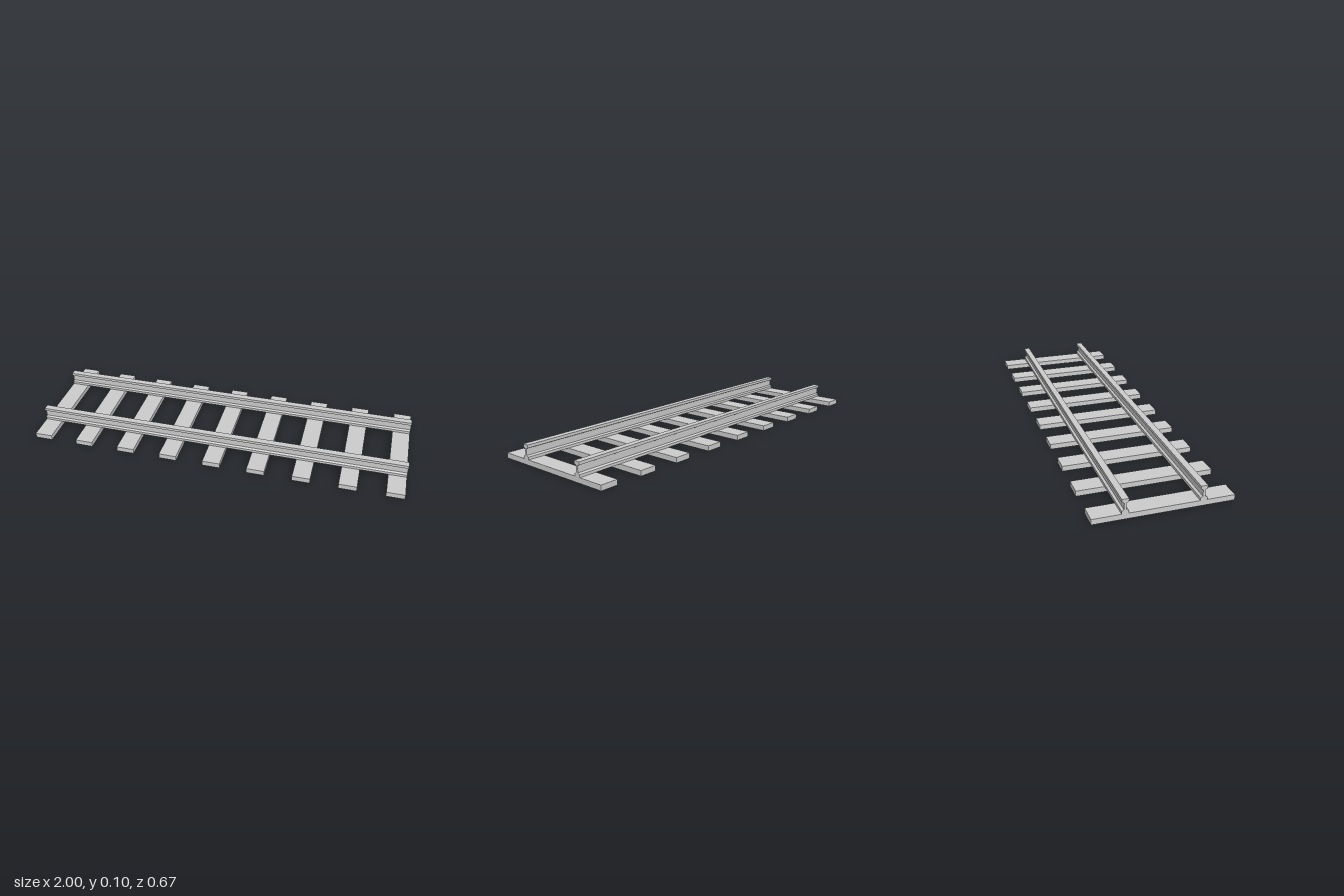
import * as THREE from 'three';

const LENGTH = 2;
const SLEEPER = { count: 9, width: 0.094, height: 0.027, depth: 0.672 };
const RAIL_Z = 0.183;

// Half of the symmetric I-shaped rail section: [half width, height], bottom to top
const RAIL_HALF = [
  [0.0165, 0.027], [0.0165, 0.041], [0.0055, 0.047],
  [0.0055, 0.08], [0.0165, 0.085], [0.0165, 0.1],
];

function railGeometry() {
  const right = RAIL_HALF.map(([x, y]) => new THREE.Vector2(x, y));
  const left = RAIL_HALF.map(([x, y]) => new THREE.Vector2(-x, y)).reverse();
  const geometry = new THREE.ExtrudeGeometry(new THREE.Shape([...right, ...left]), {
    depth: LENGTH, bevelEnabled: false,
  });
  return geometry.translate(0, 0, -LENGTH / 2).rotateY(Math.PI / 2);
}

export function createModel() {
  const track = new THREE.Group();
  track.name = 'railwayTrack';
  const material = new THREE.MeshStandardMaterial({ color: 0xcccccc, flatShading: true });

  // Two parallel rails running along x
  const railGeo = railGeometry();
  for (const [name, side] of [['frontRail', 1], ['backRail', -1]]) {
    const rail = new THREE.Mesh(railGeo, material);
    rail.name = name;
    rail.position.z = side * RAIL_Z;
    track.add(rail);
  }

  // Evenly spaced sleepers, the outer ones flush with the rail ends
  const sleeperGeo = new THREE.BoxGeometry(SLEEPER.width, SLEEPER.height, SLEEPER.depth);
  const spacing = (LENGTH - SLEEPER.width) / (SLEEPER.count - 1);
  for (let i = 0; i < SLEEPER.count; i++) {
    const sleeper = new THREE.Mesh(sleeperGeo, material);
    sleeper.name = `sleeper${i + 1}`;
    sleeper.position.set((i - (SLEEPER.count - 1) / 2) * spacing, SLEEPER.height / 2, 0);
    track.add(sleeper);
  }

  return track;
}
